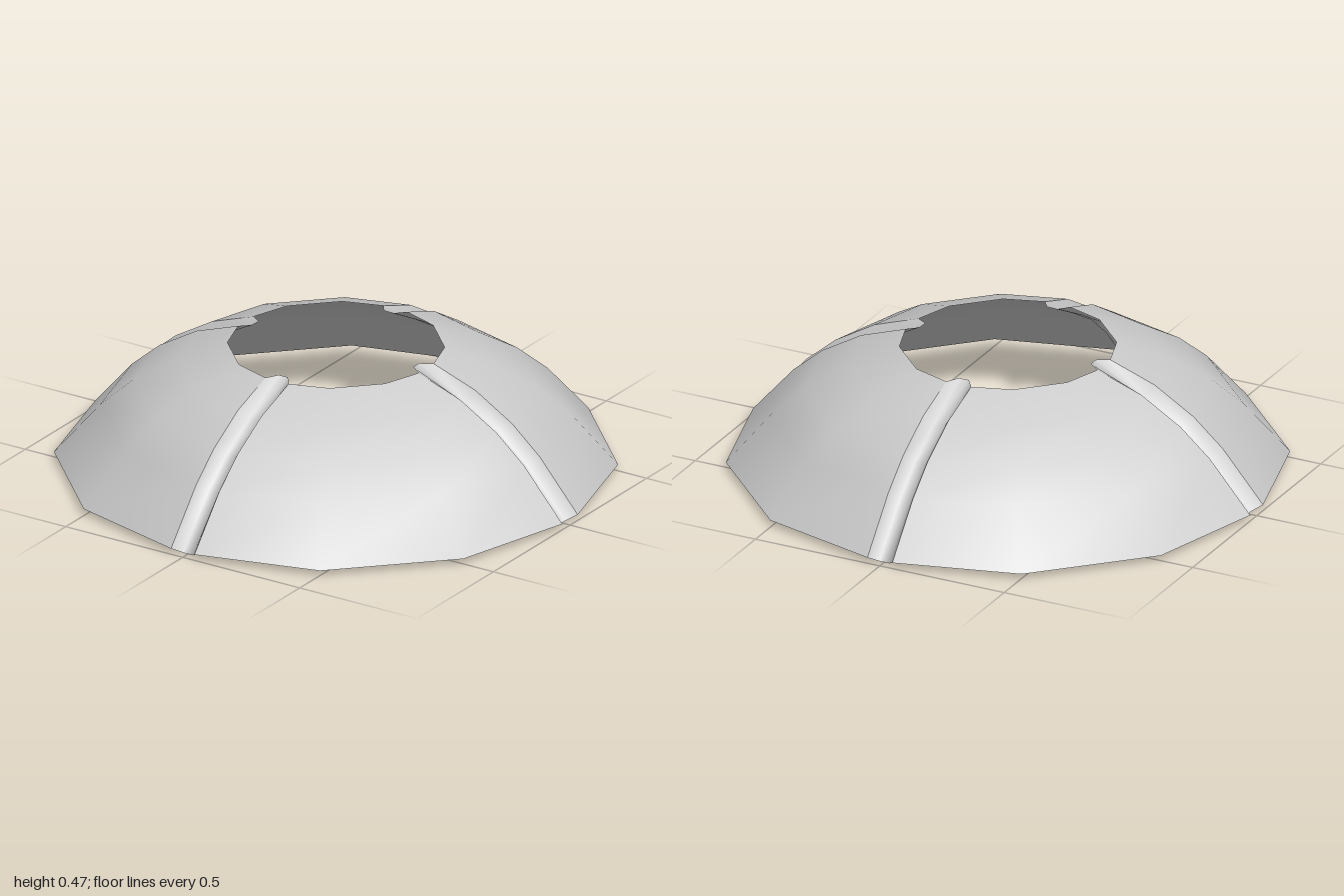
import * as THREE from 'three';

// Dome profile from rim to top opening: radius, height, and the groove floor's offset (radial, vertical)
const PROFILE = [
  [1.0, 0.022, -0.035, -0.022],
  [0.837, 0.21, -0.035, -0.03],
  [0.72, 0.31, -0.032, -0.034],
  [0.564, 0.402, -0.026, -0.038],
  [0.385, 0.464, -0.042, 0.003],
];
const HALF = 0.05;   // half width of a groove
const FLOOR = 0.02;  // half width of its floor

// Surface from cross-section rows, each an array of [x, y, z]
function loft(rows) {
  const n = rows[0].length, index = [];
  for (let i = 0; i < rows.length - 1; i++) {
    for (let j = 0; j < n - 1; j++) {
      const a = i * n + j, b = a + 1, c = a + n, d = c + 1;
      index.push(a, b, d, a, d, c);
    }
  }
  const geo = new THREE.BufferGeometry();
  geo.setAttribute('position', new THREE.Float32BufferAttribute(rows.flat(2), 3));
  geo.setIndex(index);
  geo.computeVertexNormals();
  return geo;
}

export function createModel() {
  const group = new THREE.Group();
  const material = new THREE.MeshStandardMaterial({ color: 0xcccccc, side: THREE.DoubleSide });

  // Quarter of the dome between two grooves, three facets around
  const panelGeo = loft(PROFILE.map(([r, y]) => {
    const k = r * 1.01, s = k * 0.5, c = k * Math.cos(Math.PI / 6);
    return [[HALF, y, r], [s, y, c], [c, y, s], [r, y, HALF]];
  }));

  // Sunken channel running from rim to opening, ending in a small lip
  const grooveGeo = loft(PROFILE.map(([r, y, dr, dy]) => [
    [-HALF, y, r], [-FLOOR, y + dy, r + dr], [FLOOR, y + dy, r + dr], [HALF, y, r],
  ]));

  for (let i = 0; i < 4; i++) {
    const panel = new THREE.Mesh(panelGeo, material);
    panel.name = 'domePanel' + (i + 1);
    const groove = new THREE.Mesh(grooveGeo, material);
    groove.name = 'groove' + (i + 1);
    panel.rotation.y = groove.rotation.y = i * Math.PI / 2;
    group.add(panel, groove);
  }
  return group;
}
